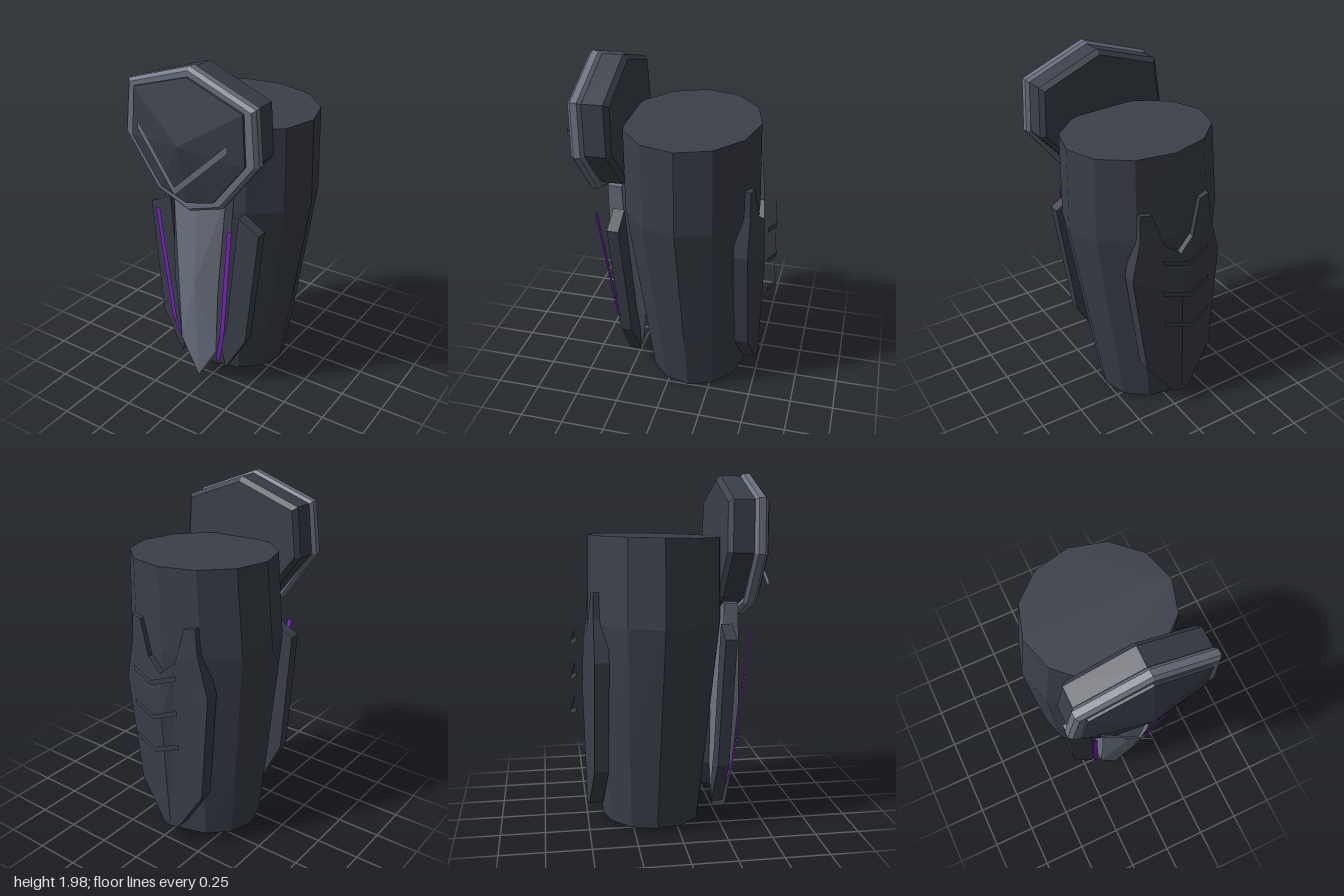
import * as THREE from 'three';

const material = (name, color) =>
  new THREE.MeshStandardMaterial({ name, color, flatShading: true, side: THREE.DoubleSide });

// Mirror a half outline (top to bottom on +x) into a closed outline
const mirrored = (half) => [
  ...half,
  ...half.slice(1, -1).reverse().map(([x, y]) => [-x, y]),
];
const shapeOf = (pts) => new THREE.Shape(pts.map(([x, y]) => new THREE.Vector2(x, y)));

// Bevelled slab between z0 and z1
function slab(pts, z0, z1, bevel) {
  const g = new THREE.ExtrudeGeometry(shapeOf(pts), {
    depth: z1 - z0 - 2 * bevel, bevelEnabled: true, bevelSegments: 1,
    bevelSize: bevel, bevelThickness: bevel, bevelOffset: -bevel,
  });
  return g.translate(0, 0, z0 + bevel);
}

// Plate half whose depth follows a rule of x and y
function bentPlate(pts, side, thickness, rule) {
  const g = new THREE.ExtrudeGeometry(shapeOf(pts.map(([x, y]) => [x * side, y])), {
    depth: thickness, bevelEnabled: false,
  });
  const p = g.attributes.position;
  for (let i = 0; i < p.count; i++) {
    p.setZ(i, p.getZ(i) + rule(Math.abs(p.getX(i)), p.getY(i)));
  }
  g.computeVertexNormals();
  return g;
}

// Flat ribbon through points, widened by an offset
function ribbon(points, dx, dy) {
  const pos = [], idx = [];
  points.forEach(([x, y, z], i) => {
    pos.push(x - dx / 2, y - dy / 2, z, x + dx / 2, y + dy / 2, z);
    if (i) idx.push(2 * i - 2, 2 * i, 2 * i - 1, 2 * i - 1, 2 * i, 2 * i + 1);
  });
  return surface(pos, idx);
}

function surface(pos, idx) {
  const g = new THREE.BufferGeometry();
  g.setAttribute('position', new THREE.Float32BufferAttribute(pos, 3));
  g.setIndex(idx);
  g.computeVertexNormals();
  return g;
}

// Closed loft through elliptical rings: [y, centre z, radius x, radius z]
function loft(rings, n) {
  const pos = [], idx = [];
  for (const [y, cz, rx, rz] of rings) {
    for (let i = 0; i < n; i++) {
      const a = (i / n) * Math.PI * 2;
      const z = cz + Math.sin(a) * rz;
      pos.push(Math.cos(a) * rx, y - 0.025 * (z + 0.1), z);
    }
  }
  const last = (rings.length - 1) * n;
  for (let r = 0; r < last; r += n) {
    for (let i = 0; i < n; i++) {
      const j = (i + 1) % n;
      idx.push(r + i, r + n + i, r + j, r + j, r + n + i, r + n + j);
    }
  }
  for (let i = 1; i < n - 1; i++) {
    idx.push(0, i, i + 1, last, last + i + 1, last + i);
  }
  return surface(pos, idx);
}

// Low faceted dome from an outline to an apex, with a short side wall
function facetedDome(pts, z0, z1, apex) {
  const pos = [...apex], idx = [], n = pts.length;
  pts.forEach(([x, y]) => pos.push(x, y, z1, x, y, z0));
  for (let i = 0; i < n; i++) {
    const a = 1 + 2 * i, b = 1 + 2 * ((i + 1) % n);
    idx.push(0, b, a, a, b, a + 1, b, b + 1, a + 1);
  }
  return surface(pos, idx);
}

export function createModel() {
  const dark = material('dark slate', 0x3a3f49);
  const grey = material('steel grey', 0x6b7280);
  const purple = material('purple glow', 0x7e22c4);

  const model = new THREE.Group();
  model.name = 'legArmor';
  // The whole leg leans slightly about a pivot below the knee
  const lean = new THREE.Group();
  lean.name = 'leaningLeg';
  lean.position.y = 1.2;
  lean.rotation.z = -0.045;
  const leg = new THREE.Group();
  leg.name = 'leg';
  leg.position.y = -1.2;
  lean.add(leg);
  model.add(lean);

  const add = (name, geometry, mat, parent = leg) => {
    const m = new THREE.Mesh(geometry, mat);
    m.name = name;
    parent.add(m);
    return m;
  };

  // Calf body
  add('calfBody', loft([
    [0.02, -0.125, 0.305, 0.285],
    [0.4, -0.115, 0.355, 0.32],
    [1.165, -0.09, 0.447, 0.385],
    [1.645, -0.085, 0.42, 0.38],
  ], 12), dark);

  // Shin plate, side plates, glow strips and calf guard, mirrored
  const shin = [[0, 1.27], [0.17, 1.27], [0.148, 0.7], [0.122, 0.25], [0, 0.02], [0, 0.7]];
  const shinZ = (x, y) => (y > 0.7
    ? 0.31 - 0.01 * (y - 0.7) / 0.57
    : 0.31 - 0.065 * (0.7 - y) / 0.68) - 0.12 * x;
  const sidePlate = [[0.225, 1.16], [0.355, 1.09], [0.29, 0.365], [0.155, 0.11], [0.13, 0.25], [0.165, 0.45]];
  const sideZ = (x, y) => 0.21 + 0.04 * Math.min(1, (y - 0.1) / 0.9);
  const guard = [
    [0, 1.07], [0.09, 1.14], [0.15, 1.34], [0.215, 1.35], [0.225, 1.2],
    [0.28, 0.97], [0.215, 0.34], [0.05, 0.1], [0, 0.1], [0, 0.8],
  ];
  const guardZ = (x, y) => -0.515 + 0.18 * x + (y > 0.8 ? 0.045 * (y - 0.8) : 0.02 * (0.8 - y));
  for (const s of [1, -1]) {
    const side = s > 0 ? 'left' : 'right';
    add(side + 'ShinPlate', bentPlate(shin, s, 0.08, shinZ), grey);
    add(side + 'SidePlate', bentPlate(sidePlate, s, 0.065, sideZ), dark);
    add(side + 'GlowStrip', ribbon([
      [0.235 * s, 1.125, 0.415], [0.168 * s, 0.39, 0.345], [0.11 * s, 0.155, 0.29],
    ], 0.028, 0), purple);
    add(side + 'CalfGuard', bentPlate(guard, s, 0.08, guardZ), dark);
  }

  // Thin chevrons behind the calf guard
  for (let i = 0; i < 3; i++) {
    const y = 1.045 - i * 0.2, z = -0.575 - i * 0.005;
    add('calfChevron' + (i + 1), ribbon([
      [-0.145, y + 0.045, z + 0.03], [0, y, z], [0.145, y + 0.045, z + 0.03],
    ], 0, 0.03), dark);
  }

  // Knee pad: backing block, light rim, faceted cap and V mark
  const knee = new THREE.Group();
  knee.name = 'kneePad';
  knee.position.set(0, 1.6, 0);
  knee.rotation.x = 0.03;
  leg.add(knee);
  const rim = mirrored([[0, 0.4], [0.385, 0.26], [0.415, -0.035], [0.205, -0.325], [0, -0.4]]);
  const back = mirrored([[0, 0.385], [0.37, 0.25], [0.395, -0.03], [0.19, -0.29], [0, -0.355]]);
  const cap = mirrored([[0, 0.35], [0.33, 0.235], [0.35, -0.04], [0.165, -0.29], [0, -0.34]]);
  add('kneeBacking', slab(back, 0.255, 0.42, 0.025), dark, knee);
  add('kneeRim', slab(rim, 0.395, 0.468, 0.018), grey, knee);
  add('kneeCap', facetedDome(cap, 0.455, 0.482, [0, 0.01, 0.56]), dark, knee);
  add('kneeMark', ribbon([
    [-0.275, 0.055, 0.527], [0, -0.225, 0.588], [0.275, 0.055, 0.527],
  ], 0, 0.045), grey, knee);

  return model;
}
